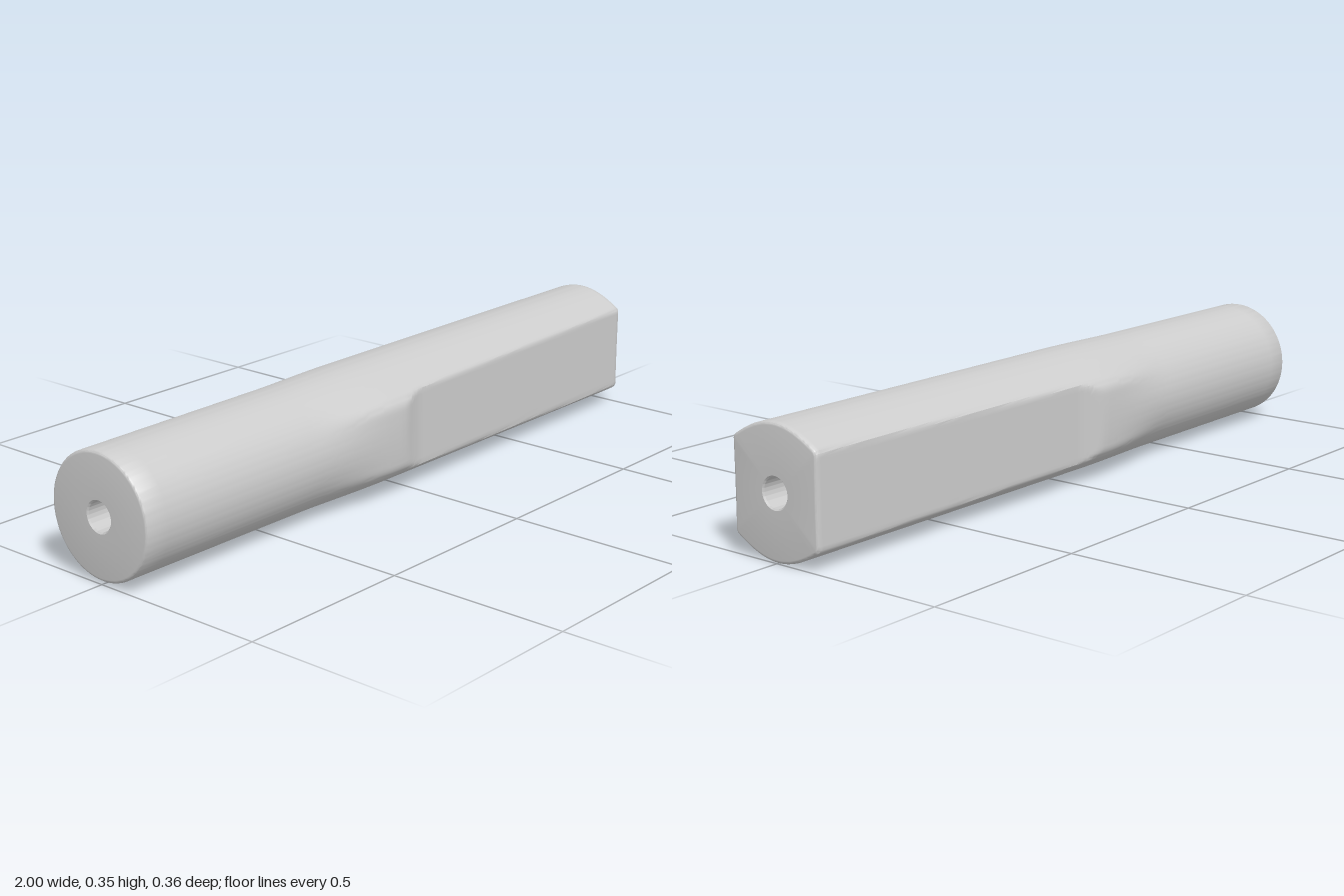
import * as THREE from 'three';
import { toCreasedNormals } from 'three/addons/utils/BufferGeometryUtils.js';

const N = 144;          // points around each section
const HALF = 0.174;     // half height, also the axis height
const HOLE = 0.039;     // bore radius
const RIM = 0.009;      // rounding of the end rims

const smooth = THREE.MathUtils.smoothstep;
const softMax = (a, b, k) => {
  const h = Math.max(k - Math.abs(a - b), 0) / k;
  return Math.max(a, b) + h * h * k * 0.25;
};

// Half width left by the two side cuts: a short ramp, then a slight taper.
function cutWidth(x) {
  const ramp = smooth(x, -0.11, 0.03);
  return THREE.MathUtils.lerp(0.186, 0.157 - 0.018 * Math.max(x, 0), ramp);
}

// Negative inside the section at x: round at the grip, squarer with flats at the blade.
function section(x, y, z) {
  const grow = smooth(x, -0.4, -0.08);
  const round = Math.hypot(y, z) - (0.167 + 0.004 * (x + 1));
  const crown = y - (HALF - 3 * z * z / (1 + 6 * z * z));
  const side = z - (0.179 - 0.5 * y * y);
  const body = THREE.MathUtils.lerp(round, softMax(crown, side, 0.02), grow);
  return softMax(body, z - cutWidth(x), 0.006);
}

// Outer radius at x in direction a, found by bisection.
function radius(x, a) {
  const c = Math.abs(Math.cos(a)), s = Math.abs(Math.sin(a));
  let lo = 0, hi = 0.3;
  for (let i = 0; i < 24; i++) {
    const r = (lo + hi) / 2;
    if (section(x, r * c, r * s) < 0) lo = r; else hi = r;
  }
  return lo;
}

function createShaft() {
  const rows = [];
  const outer = (x, inset = 0) => rows.push({ x, r: a => radius(x, a) - inset });
  const bore = (x, r) => rows.push({ x, r: () => r });

  // Outer skin with rounded rims, finely spaced at the ramp
  for (let i = 0; i <= 4; i++) {
    const t = i / 4 * Math.PI / 2;
    outer(-1 + RIM * (1 - Math.sin(t)), RIM * (1 - Math.cos(t)));
  }
  rows.reverse();
  rows.sort((p, q) => p.x - q.x);
  for (let i = 1; i <= 8; i++) outer(-1 + i * 0.07);
  for (let i = 1; i <= 14; i++) outer(-0.44 + i * 0.02);
  for (let i = 1; i <= 30; i++) outer(-0.16 + i * 0.0075);
  for (let i = 1; i <= 12; i++) outer(0.065 + i * 0.0765);
  for (let i = 0; i <= 4; i++) {
    const t = i / 4 * Math.PI / 2;
    outer(1 - RIM * (1 - Math.sin(t)), RIM * (1 - Math.cos(t)));
  }
  // Right face, through bore with eased mouths, back to the left face
  bore(1, HOLE + 0.004);
  bore(0.996, HOLE);
  bore(-0.996, HOLE);
  bore(-1, HOLE + 0.004);

  const pos = [], index = [];
  for (const { x, r } of rows) {
    for (let j = 0; j < N; j++) {
      const a = j / N * Math.PI * 2, d = r(a);
      pos.push(x, HALF + d * Math.cos(a), d * Math.sin(a));
    }
  }
  for (let i = 0; i < rows.length; i++) {
    const p = i * N, q = (i + 1) % rows.length * N;
    for (let j = 0; j < N; j++) {
      const k = (j + 1) % N;
      index.push(p + j, p + k, q + j, p + k, q + k, q + j);
    }
  }
  const geo = new THREE.BufferGeometry();
  geo.setAttribute('position', new THREE.Float32BufferAttribute(pos, 3));
  geo.setIndex(index);
  return toCreasedNormals(geo, 0.6);
}

export function createModel() {
  const group = new THREE.Group();
  const mesh = new THREE.Mesh(createShaft(), new THREE.MeshStandardMaterial({ color: 0xcccccc }));
  mesh.name = 'handleShaft';
  group.add(mesh);
  return group;
}
